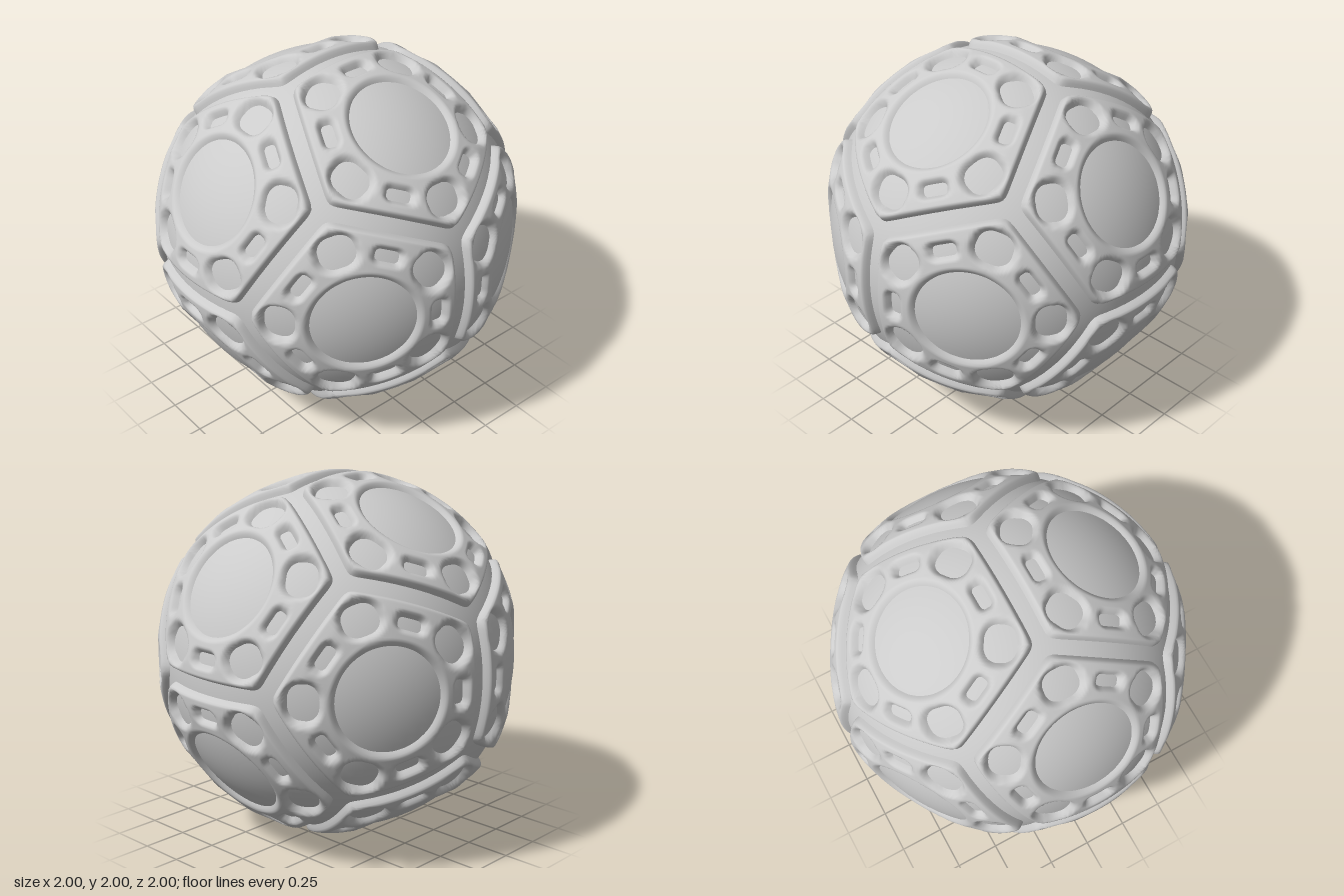
import * as THREE from 'three';

const CORE = 0.965;        // radius of the inner ball
const EDGE = 0.564;        // panel inradius, on a plane one unit from the centre
const WINDOW = 0.291;      // radius of the big round window
const RINGS = 30, SEGS = 160, SECTOR = Math.PI * 2 / 5;

// smooth minimum, which fillets the places where strands meet
const smoothMin = (list, k) => {
  const m = Math.min(...list);
  return m - k * Math.log(list.reduce((sum, d) => sum + Math.exp((m - d) / k), 0));
};

// signed distance to a rounded box, centred on (cx, 0)
const roundedBox = (x, y, cx, hx, hy, r) => {
  const qx = Math.abs(x - cx) - hx + r, qy = Math.abs(y) - hy + r;
  return Math.hypot(Math.max(qx, 0), Math.max(qy, 0)) + Math.min(Math.max(qx, qy), 0) - r;
};

// distance inside the panel's solid strands, negative in holes and outside
function strandDepth(x, y) {
  const edges = [], holes = [Math.hypot(x, y) - WINDOW];
  for (let i = 0; i < 5; i++) {
    const c = Math.cos(i * SECTOR), s = Math.sin(i * SECTOR);
    const a = x * c + y * s, b = y * c - x * s;
    edges.push(EDGE - a);
    holes.push(roundedBox(a, b, 0.424, 0.037, 0.07, 0.025));      // slot beside each edge
    const ch = Math.cos((i + 0.5) * SECTOR), sh = Math.sin((i + 0.5) * SECTOR);
    const p = x * ch + y * sh, q = y * ch - x * sh;
    holes.push(roundedBox(p, q, 0.476, 0.102, 0.107, 0.085));     // round hole in each corner
  }
  return smoothMin([smoothMin(edges, 0.02), ...holes], 0.006);
}

// five-sided panel facing +z, with one edge towards +x, wrapped on the ball
function panelGeometry() {
  const positions = [], index = [], p = new THREE.Vector3();
  for (let i = 0; i <= RINGS; i++) {
    for (let j = 0; j < SEGS; j++) {
      const angle = j / SEGS * Math.PI * 2;
      const local = angle - Math.round(angle / SECTOR) * SECTOR;
      const outer = (EDGE + 0.012) / Math.cos(local);
      const r = THREE.MathUtils.lerp(WINDOW - 0.012, outer, i / RINGS);
      const x = r * Math.cos(angle), y = r * Math.sin(angle);
      const depth = strandDepth(x, y);
      const top = THREE.MathUtils.lerp(0.027, 0.039, THREE.MathUtils.smoothstep(r, 0.3, 0.5));
      const height = depth > 0
        ? top * Math.sin(Math.min(depth / 0.034, 1) * Math.PI / 2)
        : Math.max(depth * 1.6, -0.025);
      p.set(x, y, 1).setLength(CORE + height);
      positions.push(p.x, p.y, p.z);
      if (i < RINGS) {
        const k = (j + 1) % SEGS, a = i * SEGS, b = a + SEGS;
        index.push(a + j, b + j, b + k, a + j, b + k, a + k);
      }
    }
  }
  const geometry = new THREE.BufferGeometry();
  geometry.setAttribute('position', new THREE.Float32BufferAttribute(positions, 3));
  geometry.setIndex(index);
  geometry.computeVertexNormals();
  return geometry;
}

export function createModel() {
  const group = new THREE.Group();
  group.name = 'panelledBall';
  const material = new THREE.MeshStandardMaterial({ color: 0xcccccc });

  // inner ball, seen through the holes and in the seams
  const core = new THREE.Mesh(new THREE.SphereGeometry(CORE, 96, 64), material);
  core.name = 'innerBall';
  core.position.y = 1;
  group.add(core);

  // twelve panels, one for each face of a dodecahedron
  const geometry = panelGeometry();
  const golden = (1 + Math.sqrt(5)) / 2;
  for (let axis = 0; axis < 3; axis++) {
    for (const s of [-1, 1]) for (const t of [-1, 1]) {
      const normal = new THREE.Vector3().setComponent(axis, s * golden)
        .setComponent((axis + 1) % 3, t).normalize();
      const toEdge = new THREE.Vector3().setComponent(axis, s).projectOnPlane(normal).normalize();
      const side = normal.clone().cross(toEdge);
      const panel = new THREE.Mesh(geometry, material);
      panel.name = `panel${group.children.length}`;
      panel.quaternion.setFromRotationMatrix(new THREE.Matrix4().makeBasis(toEdge, side, normal));
      panel.position.y = 1;
      group.add(panel);
    }
  }
  return group;
}
